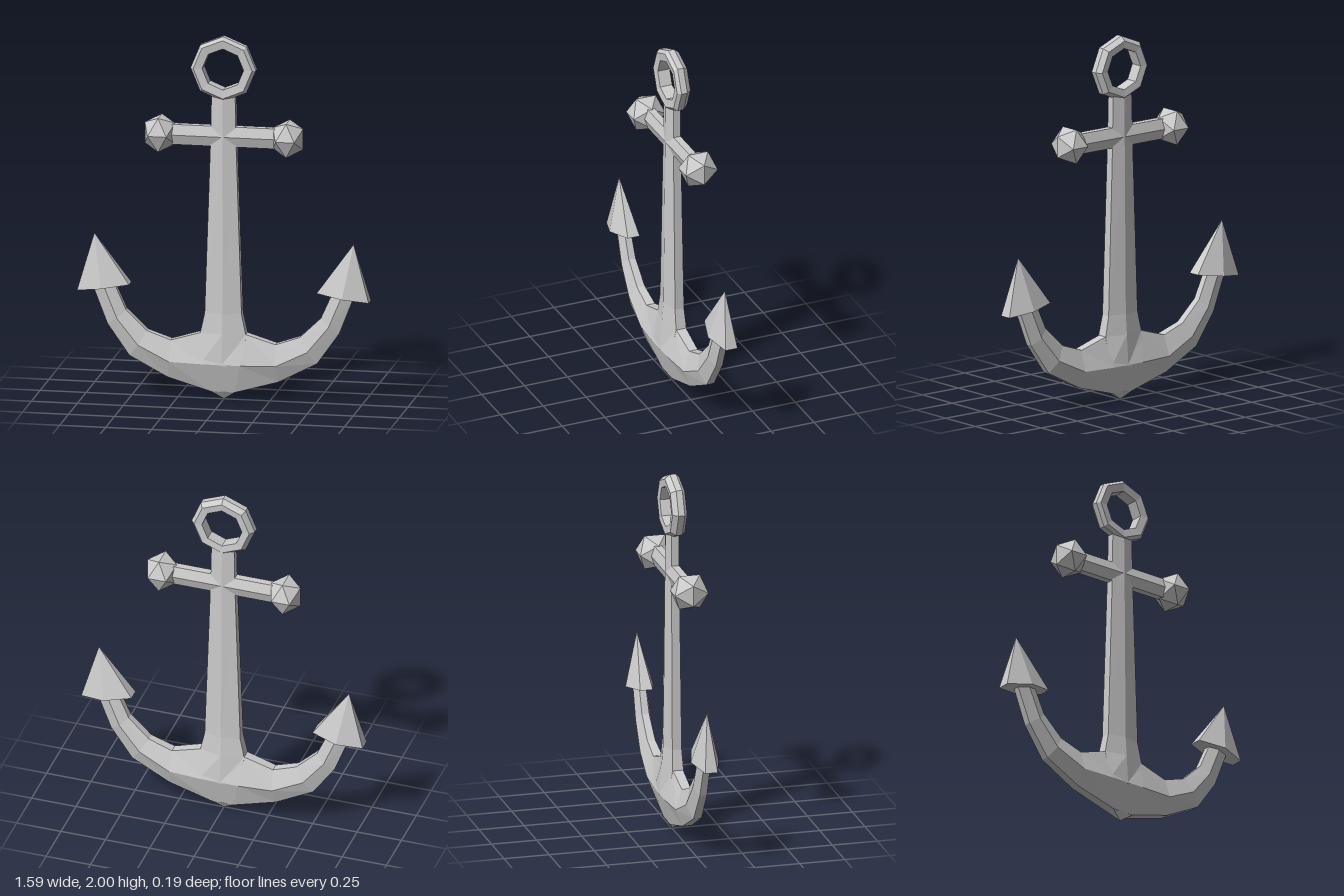
import * as THREE from 'three';

const material = new THREE.MeshStandardMaterial({ color: 0xcccccc, flatShading: true });

// Closed skin over a row of cross-sections with equal point counts.
function loft(sections) {
  const n = sections[0].length;
  const tris = [];
  for (let i = 0; i < sections.length - 1; i++) {
    const a = sections[i], b = sections[i + 1];
    for (let j = 0; j < n; j++) {
      const k = (j + 1) % n;
      tris.push([a[j], a[k], b[k]], [a[j], b[k], b[j]]);
    }
  }
  const first = sections[0], last = sections[sections.length - 1];
  for (let j = 1; j < n - 1; j++) {
    tris.push([first[0], first[j + 1], first[j]], [last[0], last[j], last[j + 1]]);
  }
  // Turn the skin outward when the volume comes out negative.
  let volume = 0;
  for (const [p, q, r] of tris) volume += p.dot(q.clone().cross(r));
  const points = tris.flatMap(([p, q, r]) => (volume < 0 ? [p, r, q] : [p, q, r]));
  const geometry = new THREE.BufferGeometry().setFromPoints(points);
  geometry.computeVertexNormals();
  return geometry;
}

// Six-sided section: two edges and a ridge between them, mirrored in z.
function hex([ax, ay], [mx, my], [bx, by], ridgeZ, edgeZ, endZ = edgeZ) {
  const v = (x, y, z) => new THREE.Vector3(x, y, z);
  return [
    v(ax, ay, edgeZ), v(mx, my, ridgeZ), v(bx, by, endZ),
    v(bx, by, -endZ), v(mx, my, -ridgeZ), v(ax, ay, -edgeZ),
  ];
}

export function createModel() {
  const group = new THREE.Group();
  const add = (name, geometry) => {
    const mesh = new THREE.Mesh(geometry, material);
    mesh.name = name;
    group.add(mesh);
    return mesh;
  };

  // Ring: bevelled section turned in eight steps
  const ringProfile = [
    [0.113, 0.034], [0.113, -0.036], [0.155, -0.04], [0.178, -0.012],
    [0.178, 0.022], [0.16, 0.04], [0.113, 0.034],
  ].map(([r, y]) => new THREE.Vector2(r, y));
  const ring = add('ring', new THREE.LatheGeometry(ringProfile, 8));
  ring.rotation.x = Math.PI / 2;
  ring.position.y = 1.822;

  // Shank: height, half width, ridge depth, edge depth
  add('shank', loft([
    [0.2, 0.12, 0.071, 0.066],
    [0.37, 0.123, 0.058, 0.03],
    [0.48, 0.1, 0.049, 0.026],
    [1.4, 0.07, 0.04, 0.022],
    [1.69, 0.064, 0.036, 0.02],
  ].map(([y, w, ridge, edge]) => hex([-w, y], [0, y], [w, y], ridge, edge))));

  // Crossbar
  add('crossbar', loft([-0.33, 0.33].map((x) =>
    hex([x, 1.505], [x, 1.45], [x, 1.395], 0.038, 0.02))));

  // Arms: upper edge, ridge, lower edge, ridge depth, edge depth
  const arm = [
    [[0.12, 0.37], [0.1, 0.205], [0.065, 0.048], 0.071, 0.028],
    [[0.285, 0.32], [0.29, 0.208], [0.3, 0.115], 0.061, 0.025],
    [[0.415, 0.365], [0.46, 0.29], [0.51, 0.225], 0.05, 0.022],
    [[0.53, 0.475], [0.575, 0.43], [0.63, 0.395], 0.043, 0.02],
    [[0.595, 0.62], [0.65, 0.61], [0.71, 0.6], 0.038, 0.018],
  ];
  const side = (s) => arm.map(([a, m, b, ridge, edge]) =>
    hex([s * a[0], a[1]], [s * m[0], m[1]], [s * b[0], b[1]], ridge, edge));
  add('arms', loft([...side(-1).reverse(), ...side(1)]));

  // Crown point under the arms
  add('crownPoint', loft([
    hex([-0.065, 0.049], [0, 0.051], [0.065, 0.049], 0.03, 0.027),
    hex([0, 0.004], [0, 0.004], [0, 0.004], 0, 0),
  ]));

  for (const s of [1, -1]) {
    const name = s > 0 ? 'left' : 'right';

    // Knob on the crossbar end
    const knob = add(name + 'Knob', new THREE.IcosahedronGeometry(0.109).rotateX(Math.PI / 2));
    knob.scale.x = 0.89;
    knob.position.set(s * 0.348, 1.45, 0);

    // Pointed fluke on the arm tip
    add(name + 'Fluke', loft([
      hex([s * 0.51, 0.615], [s * 0.655, 0.595], [s * 0.793, 0.573], 0.077, 0.035),
      hex([s * 0.705, 0.885], [s * 0.705, 0.885], [s * 0.705, 0.885], 0, 0),
    ]));
  }
  return group;
}
